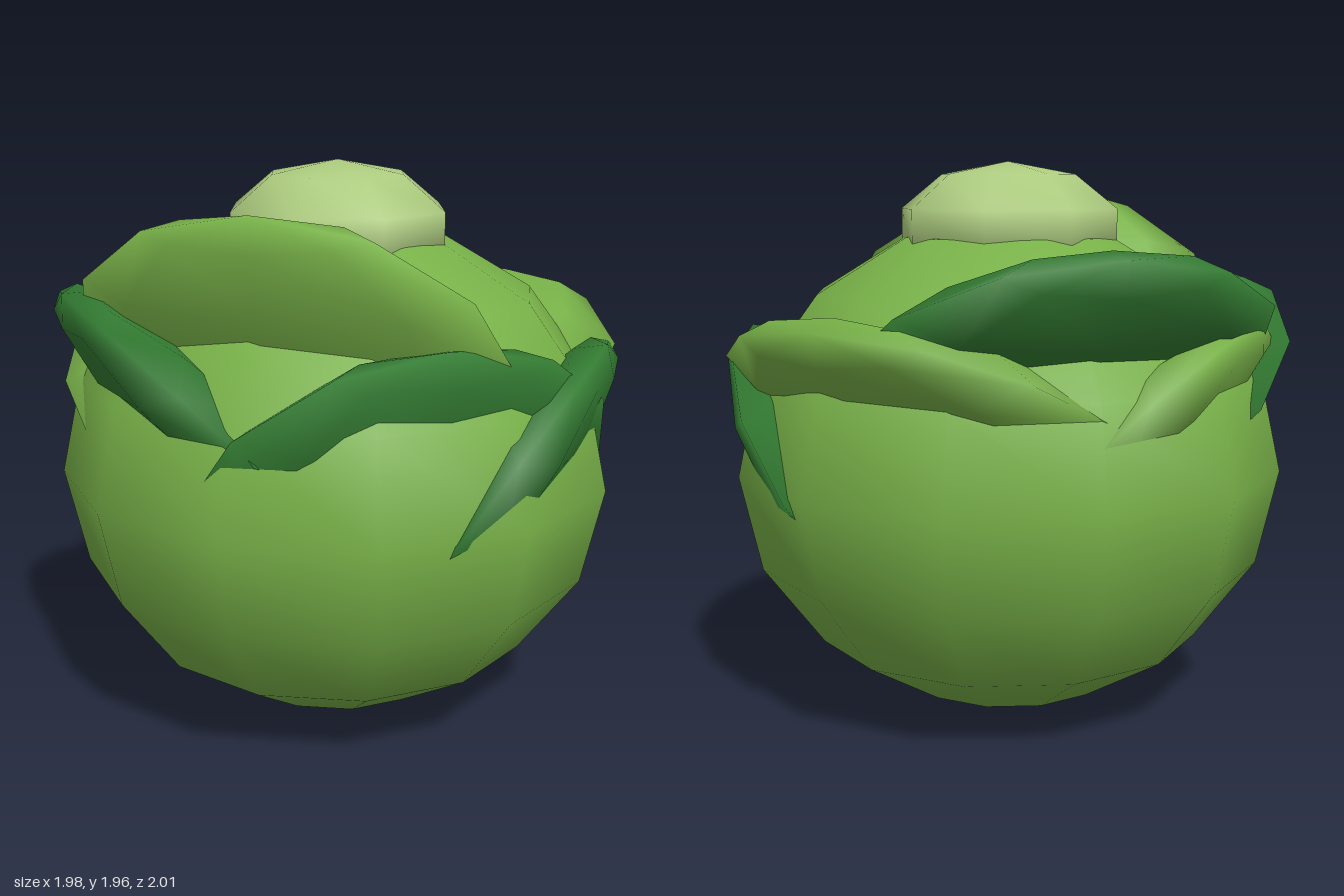
import * as THREE from 'three';

const paint = (name, color) => {
  const m = new THREE.MeshStandardMaterial({ color });
  m.name = name;
  return m;
};

export function createModel() {
  const green = paint('leaf green', 0x78b148);
  const dark = paint('dark leaf green', 0x337b32);
  const pale = paint('pale heart green', 0xadcc7f);
  const model = new THREE.Group();
  model.name = 'cabbage';

  // Squashed, smooth low-poly ball
  function ball(name, material, size, position, widthSegments, heightSegments) {
    const geometry = new THREE.SphereGeometry(1, widthSegments, heightSegments);
    geometry.scale(...size);
    const mesh = new THREE.Mesh(geometry, material);
    mesh.name = name;
    mesh.position.set(...position);
    return mesh;
  }

  // Head and pale heart
  model.add(ball('head', green, [0.98, 0.88, 0.98], [0, 0.885, 0.015], 12, 8));
  model.add(ball('heart', pale, [0.412, 0.238, 0.412], [0, 1.724, 0.015], 8, 5));

  // Outer leaves: thin lenses leaning outward around the head
  // [name, material, angle about y, distance out, height, lean] (degrees)
  const leaves = [
    ['frontLeaf', green, 3, 0.49, 1.36, 33],
    ['frontLeftLeaf', dark, 45, 0.55, 0.96, 33],
    ['leftLeaf', dark, 94, 0.62, 0.87, 33],
    ['backLeftLeaf', green, 156, 0.49, 1.16, 62],
    ['backRightLeaf', dark, -147, 0.5, 1.32, 55],
    ['rightLeaf', green, -99, 0.5, 1.01, 45],
    ['frontRightLeaf', dark, -47, 0.55, 1.13, 45],
  ];
  for (const [name, material, angle, out, height, lean] of leaves) {
    const pivot = new THREE.Group();
    pivot.name = name;
    pivot.rotation.y = THREE.MathUtils.degToRad(angle);
    const blade = ball(name + 'Blade', material, [0.75, 0.6, 0.17], [0, height, out], 8, 6);
    blade.rotation.x = THREE.MathUtils.degToRad(lean);
    pivot.add(blade);
    model.add(pivot);
  }
  return model;
}
